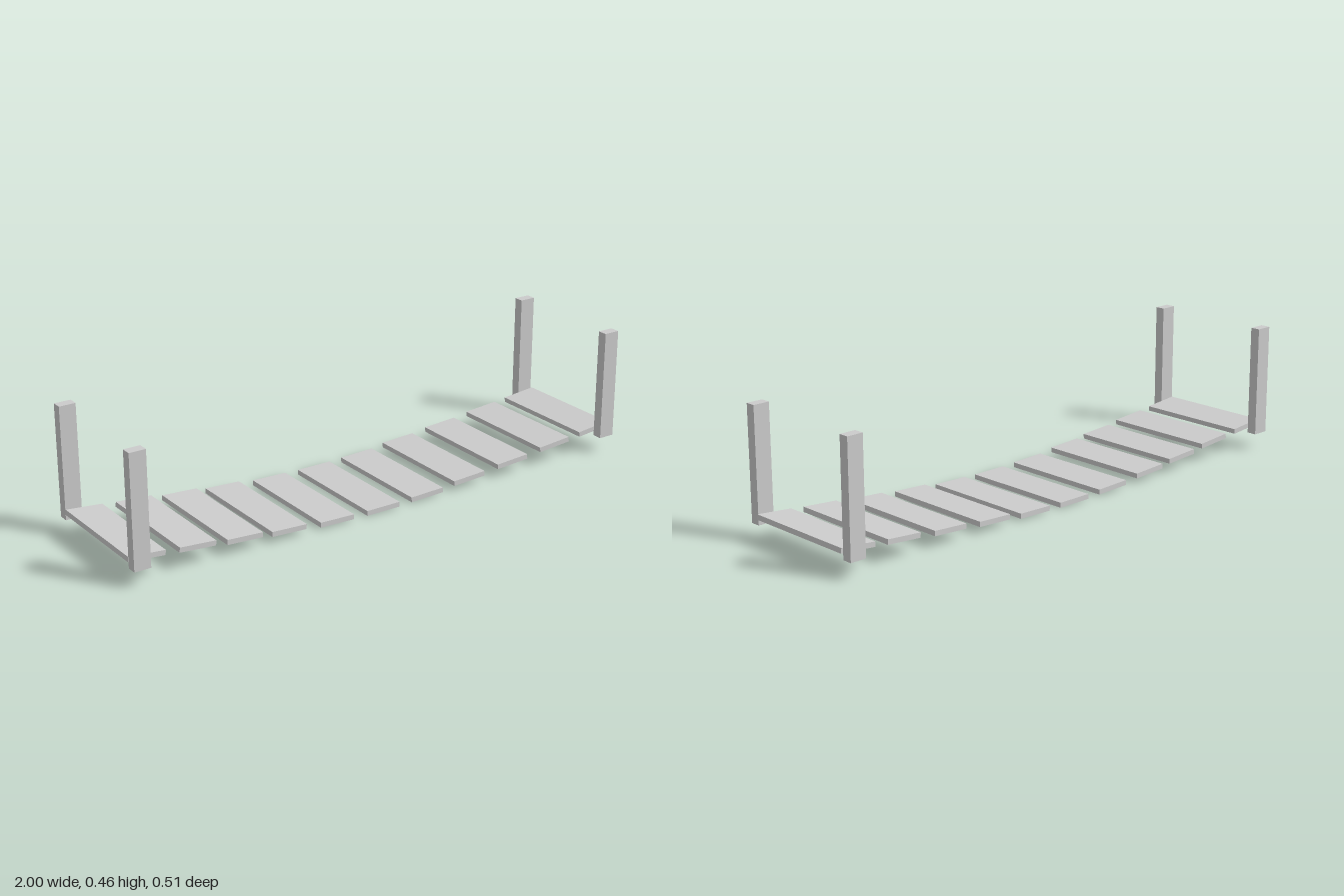
import * as THREE from 'three';

export function createModel() {
  const group = new THREE.Group();
  group.name = 'plankBridge';
  const material = new THREE.MeshStandardMaterial({ color: 0xcccccc, flatShading: true });

  function box(name, w, h, d, x, y, z, tilt = 0) {
    const mesh = new THREE.Mesh(new THREE.BoxGeometry(w, h, d), material);
    mesh.name = name;
    mesh.position.set(x, y, z);
    mesh.rotation.z = tilt;
    group.add(mesh);
  }

  // Sagging row of unevenly spaced planks, tilted to follow the curve
  const thickness = 0.018;
  const plankX = [-0.934, -0.749, -0.572, -0.401, -0.209, -0.019, 0.168, 0.353, 0.548, 0.743, 0.928];
  const rise = [0, 0.0045, 0.0205, 0.0375, 0.0575, 0.0755]; // by steps from the middle
  const slope = [0, 0.03, 0.05, 0.06, 0.08, 0.093];
  plankX.forEach((x, i) => {
    const step = Math.abs(i - 5);
    box('plank' + (i + 1), 0.135, thickness, 0.43,
      x, rise[step] + thickness / 2, 0.002, Math.sign(i - 5) * slope[step]);
  });

  // Four upright corner posts
  for (const [side, x] of [['right', -0.97], ['left', 0.96]]) {
    for (const [end, z] of [['Front', 0.236], ['Back', -0.234]]) {
      box(side + end + 'Post', 0.06, 0.403, 0.036, x, 0.2615, z);
    }
  }
  return group;
}
